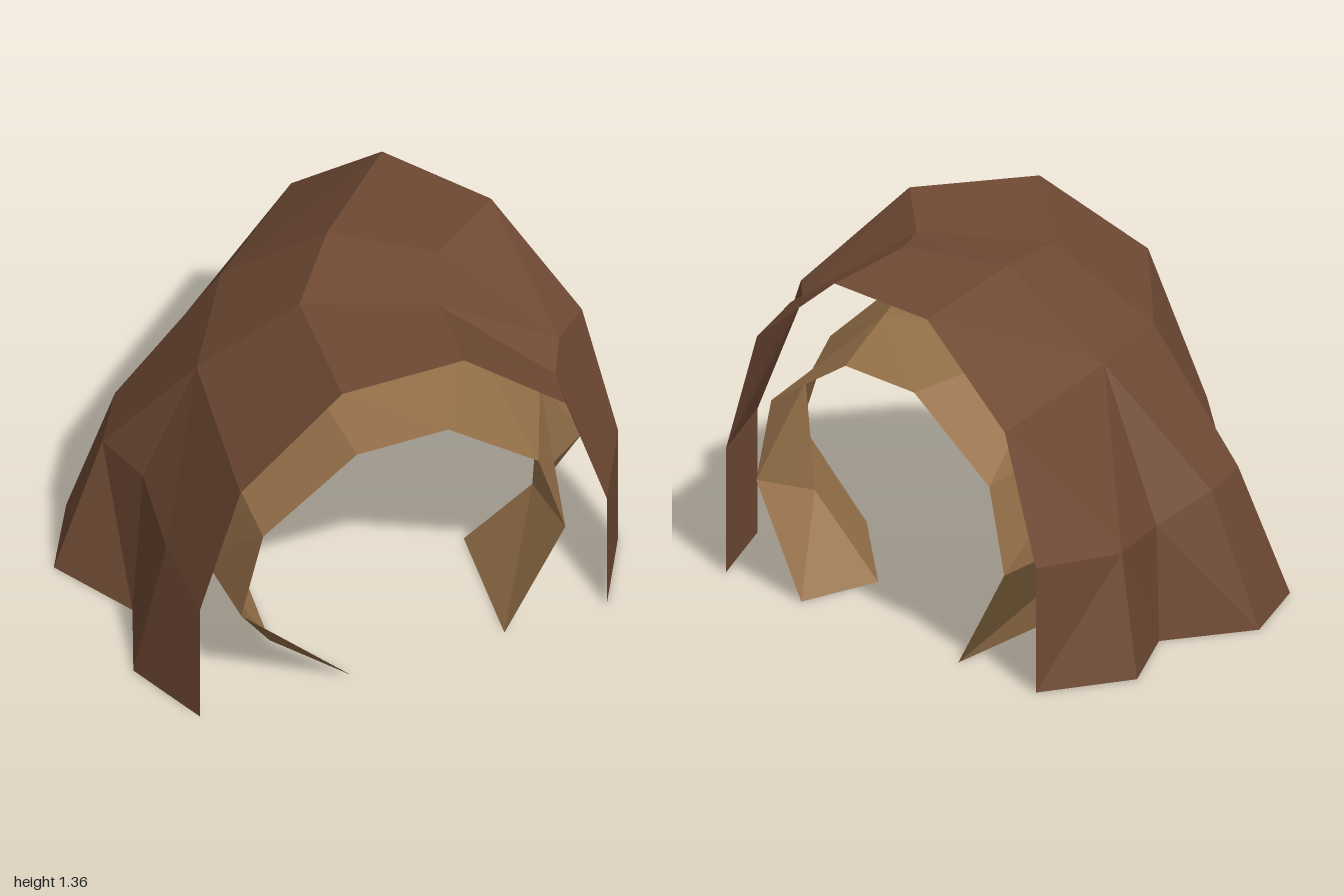
import * as THREE from 'three';

const brown = new THREE.MeshStandardMaterial({ color: 0x704a34, side: THREE.DoubleSide, flatShading: true });
brown.name = 'brown rock';
const tan = new THREE.MeshStandardMaterial({ color: 0x967149, side: THREE.DoubleSide, flatShading: true });
tan.name = 'tan rock';

const dist = (a, b) => Math.hypot(a[0] - b[0], a[1] - b[1], a[2] - b[2]);

// Joins two rows of any length with triangles, always along the shorter diagonal
function stitch(low, high, out, flip) {
  let i = 0, j = 0;
  while (i < low.length - 1 || j < high.length - 1) {
    const canLow = i < low.length - 1, canHigh = j < high.length - 1;
    const stepLow = canLow && (!canHigh || dist(low[i + 1], high[j]) <= dist(low[i], high[j + 1]));
    const next = stepLow ? low[i + 1] : high[j + 1];
    const tri = [low[i], high[j], next];
    if (flip) tri.reverse();
    out.push(...tri.flat());
    if (stepLow) i++; else j++;
  }
}

// A rock skin lofted over rows that run from the front mouth to the rear mouth
function shell(name, rows, material, flip) {
  const out = [];
  for (let k = 0; k < rows.length - 1; k++) stitch(rows[k], rows[k + 1], out, flip);
  const geometry = new THREE.BufferGeometry();
  geometry.setAttribute('position', new THREE.Float32BufferAttribute(out, 3));
  geometry.computeVertexNormals();
  const mesh = new THREE.Mesh(geometry, material);
  mesh.name = name;
  return mesh;
}

// Arched mouth between two ground points, as [fraction of width, height] steps
function mouth(from, to, steps) {
  return steps.map(([t, y]) => [from[0] + (to[0] - from[0]) * t, y, from[1] + (to[1] - from[1]) * t]);
}

const outerArch = [[0, 0], [0, 0.5], [0.1, 1], [0.35, 1.335], [0.65, 1.335], [0.9, 1], [1, 0.5], [1, 0]];

// Puts the two mouths at the ends of the rows of middle points
const addMouths = (front, middles, rear) => middles.map((m, k) => [front[k], ...m, rear[k]]);

export function createModel() {
  const group = new THREE.Group();
  group.name = 'caveTunnel';

  // Outer rock, from the long left wall over the roof to the right pillar
  const outerRows = addMouths(
    mouth([-0.88, 0.9], [0.79, 0.9], outerArch),
    [
      [[-0.99, 0, 0.54], [-0.84, 0, 0.2], [-1, 0, -0.16], [-0.8, 0, -0.49], [-0.41, 0, -0.51], [-0.24, 0, -0.86]],
      [[-0.85, 0.53, 0.53], [-0.77, 0.57, 0.14], [-0.8, 0.53, -0.16], [-0.64, 0.54, -0.4], [-0.41, 0.45, -0.47], [-0.2, 0.48, -0.78]],
      [[-0.55, 1.01, 0.14], [-0.25, 1.05, -0.3]],
      [[-0.2, 1.31, 0.3], [0.05, 1.36, 0]],
      [[0.27, 1.31, 0.52], [0.38, 1.355, 0.28]],
      [[0.66, 1, 0.72], [0.74, 1.05, 0.58]],
      [],
      [],
    ],
    mouth([0.16, -0.9], [1, 0.54], outerArch),
  );
  group.add(shell('outerRock', outerRows, brown, false));

  // Inner lining, built the same way and facing the passage
  const innerRows = addMouths(
    [[-0.26, 0, 0.9], [-0.71, 0.42, 0.9], [-0.62, 0.765, 0.9], [-0.235, 1.03, 0.9],
      [0.14, 1.03, 0.9], [0.51, 0.765, 0.9], [0.62, 0.42, 0.9], [0.37, 0, 0.9]],
    [
      [[-0.45, 0, 0.58], [-0.36, 0, 0]],
      [[-0.7, 0.44, 0.49], [-0.43, 0.32, -0.04]],
      [[-0.56, 0.765, 0.46], [-0.38, 0.77, -0.05]],
      [[-0.22, 1.06, 0.42], [-0.15, 1.08, -0.05]],
      [[0.45, 1.08, 0.3]],
      [[0.71, 0.77, 0.47]],
      [[0.67, 0.32, 0.49]],
      [[0.47, 0, 0.31]],
    ],
    [[0.37, 0, -0.54], [0.245, 0.42, -0.75], [0.285, 0.755, -0.68], [0.49, 1.02, -0.335],
      [0.676, 1.02, -0.015], [0.877, 0.765, 0.33], [0.918, 0.42, 0.4], [0.796, 0, 0.19]],
  );
  group.add(shell('innerLining', innerRows, tan, true));

  return group;
}
